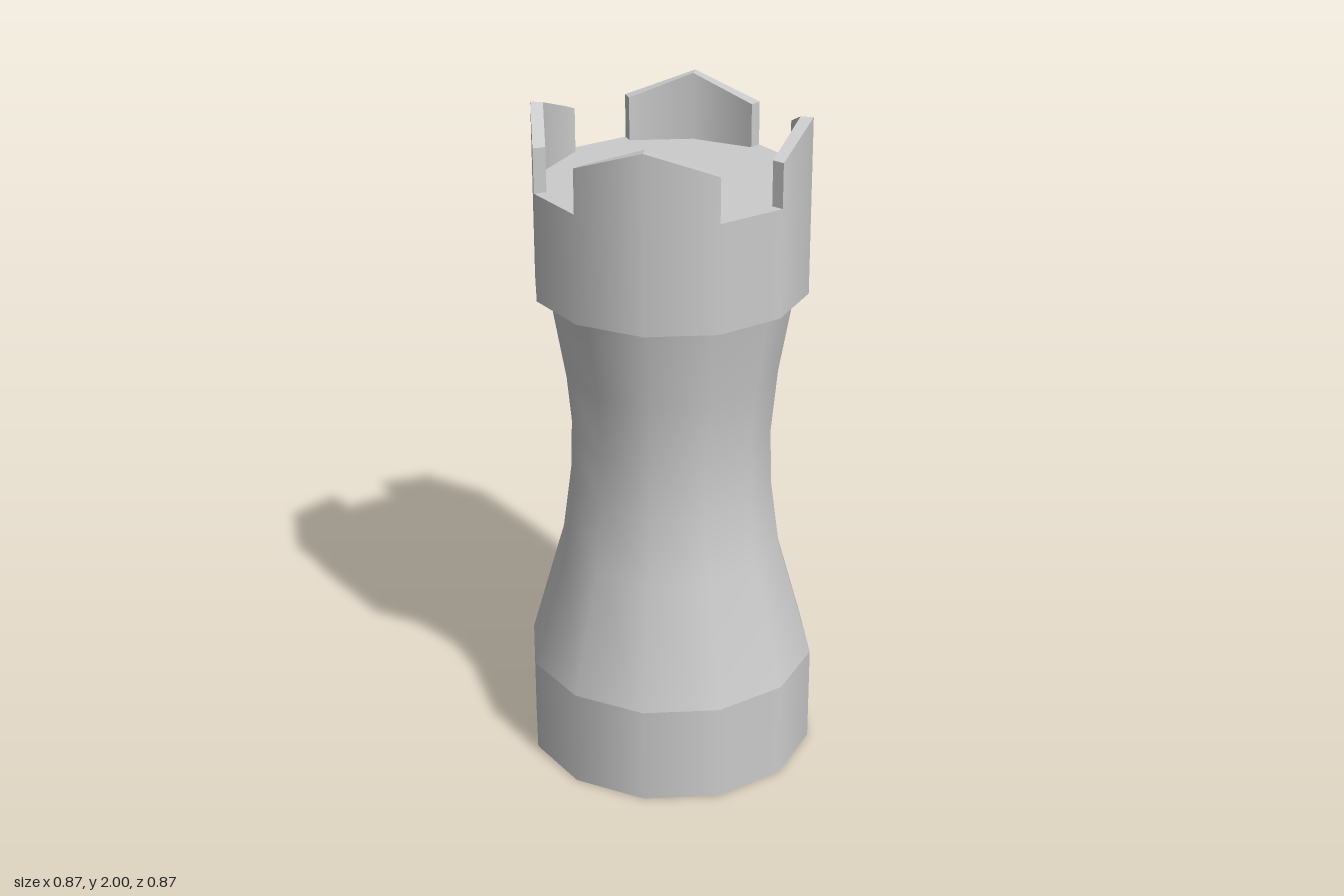
import * as THREE from 'three';

const SIDES = 12;
const STEP = (Math.PI * 2) / SIDES;
const BASE_R = 0.435, BASE_H = 0.3;
const CROWN_R = 0.4, CROWN_INNER = 0.3635, CROWN_BOTTOM = 1.48, FLOOR = 1.8;

const material = new THREE.MeshStandardMaterial({ color: 0xcccccc });

function addMesh(parent, name, geometry, y = 0) {
  const mesh = new THREE.Mesh(geometry, material);
  mesh.name = name;
  mesh.position.y = y;
  parent.add(mesh);
  return mesh;
}

// Two-panel wall piece with a peaked top; its curved walls have smooth radial normals
function merlonGeometry() {
  const sections = [[-STEP, 1.93], [0, 2], [STEP, 1.93]];
  const positions = [], normals = [];
  const corner = (r, a, y) => new THREE.Vector3(r * Math.sin(a), y, r * Math.cos(a));

  // radial: 1 outer wall, -1 inner wall, 0 flat face
  const quad = (a, b, c, d, radial = 0) => {
    const flat = b.clone().sub(a).cross(c.clone().sub(a)).normalize();
    for (const p of [a, b, c, a, c, d]) {
      positions.push(p.x, p.y, p.z);
      const n = radial ? new THREE.Vector3(p.x, 0, p.z).normalize().multiplyScalar(radial) : flat;
      normals.push(n.x, n.y, n.z);
    }
  };

  const rings = sections.map(([a, top]) => ({
    outLow: corner(CROWN_R, a, FLOOR), outTop: corner(CROWN_R, a, top),
    inLow: corner(CROWN_INNER, a, FLOOR), inTop: corner(CROWN_INNER, a, top),
  }));
  for (let i = 0; i < 2; i++) {
    const p = rings[i], q = rings[i + 1];
    quad(p.outLow, q.outLow, q.outTop, p.outTop, 1);
    quad(q.inLow, p.inLow, p.inTop, q.inTop, -1);
    quad(p.outTop, q.outTop, q.inTop, p.inTop);
  }
  const first = rings[0], last = rings[2];
  quad(first.inLow, first.outLow, first.outTop, first.inTop);
  quad(last.outLow, last.inLow, last.inTop, last.outTop);

  const geometry = new THREE.BufferGeometry();
  geometry.setAttribute('position', new THREE.Float32BufferAttribute(positions, 3));
  geometry.setAttribute('normal', new THREE.Float32BufferAttribute(normals, 3));
  return geometry;
}

export function createModel() {
  const tower = new THREE.Group();
  tower.name = 'rookTower';

  // Straight plinth
  addMesh(tower, 'base', new THREE.CylinderGeometry(BASE_R, BASE_R, BASE_H, SIDES), BASE_H / 2);

  // Waisted shaft
  const profile = [
    [BASE_R, BASE_H], [0.331, 0.667], [0.304, 0.87],
    [0.299, 1.04], [0.317, 1.233], [0.36, CROWN_BOTTOM],
  ].map(([r, y]) => new THREE.Vector2(r, y));
  addMesh(tower, 'shaft', new THREE.LatheGeometry(profile, SIDES));

  // Crown drum with a flat floor, and four merlons around it
  const crown = new THREE.Group();
  crown.name = 'crown';
  tower.add(crown);
  const drumHeight = FLOOR - CROWN_BOTTOM;
  addMesh(crown, 'drum', new THREE.CylinderGeometry(CROWN_R, CROWN_R, drumHeight, SIDES),
    CROWN_BOTTOM + drumHeight / 2);

  const merlon = merlonGeometry();
  ['front', 'left', 'back', 'right'].forEach((side, i) => {
    addMesh(crown, side + 'Merlon', merlon).rotation.y = (i * Math.PI) / 2;
  });

  return tower;
}
